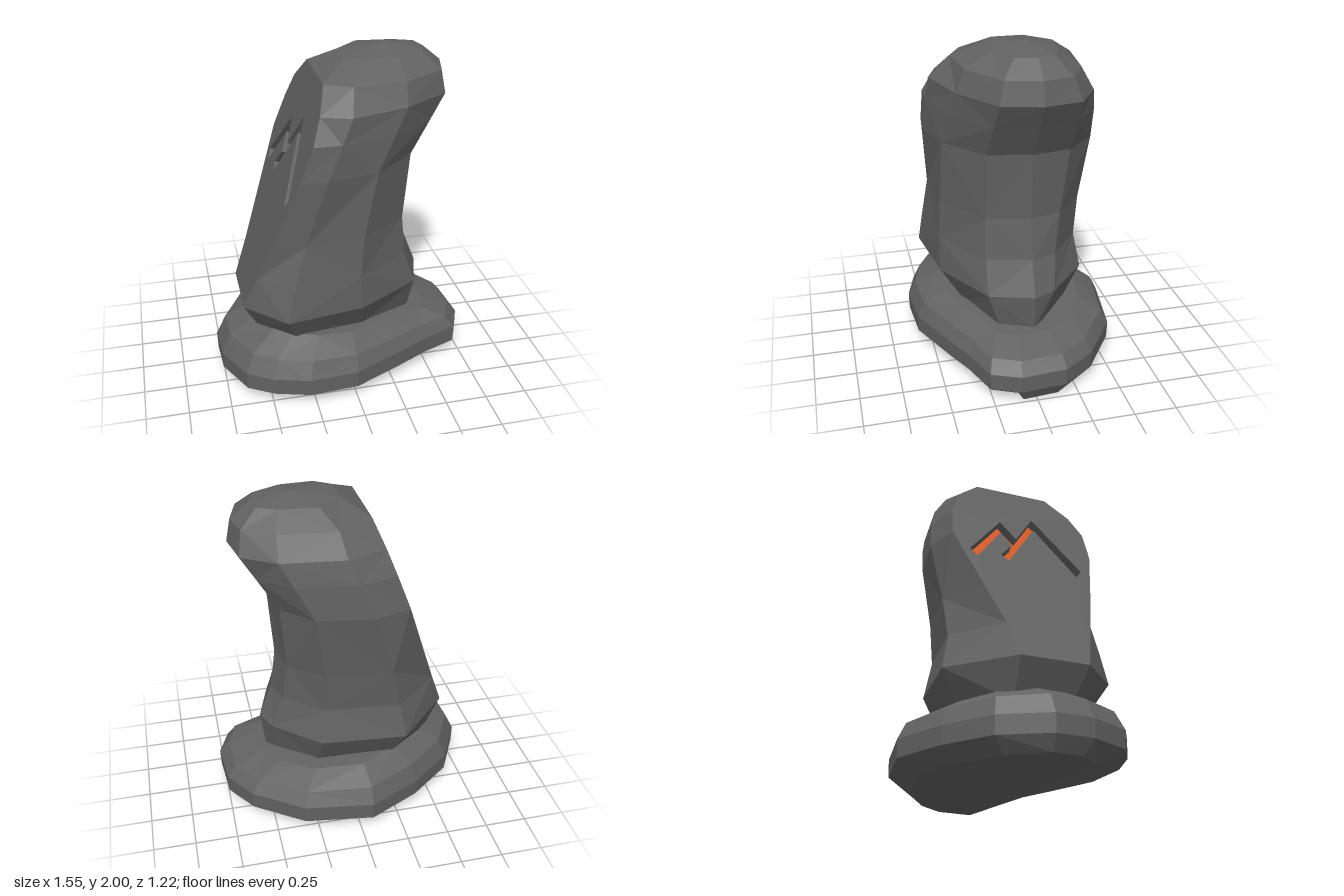
import * as THREE from 'three';

const stone = new THREE.MeshStandardMaterial({ color: 0x626262, flatShading: true, side: THREE.DoubleSide });
const glow = new THREE.MeshStandardMaterial({ color: 0xd9591c, flatShading: true, side: THREE.DoubleSide });

// Joins rings of [x, y, z] points, bottom to top, and caps both ends.
// Sides for which skip(level, side) is true stay open.
function loft(rings, bottom, top, skip = () => false) {
  const pos = [];
  const tri = (a, b, c) => pos.push(...a, ...b, ...c);
  const n = rings[0].length;
  const last = rings.length - 1;
  for (let i = 0; i < n; i++) {
    const j = (i + 1) % n;
    for (let k = 0; k < last; k++) {
      if (skip(k, i)) continue;
      const lo = rings[k], up = rings[k + 1];
      if ((i + k) % 2) {
        tri(lo[i], up[i], lo[j]);
        tri(lo[j], up[i], up[j]);
      } else {
        tri(lo[i], up[i], up[j]);
        tri(lo[i], up[j], lo[j]);
      }
    }
    tri(bottom, rings[0][i], rings[0][j]);
    tri(top, rings[last][j], rings[last][i]);
  }
  const geo = new THREE.BufferGeometry();
  geo.setAttribute('position', new THREE.Float32BufferAttribute(pos, 3));
  geo.computeVertexNormals();
  return geo;
}

function mesh(name, geo, mat) {
  const m = new THREE.Mesh(geo, mat);
  m.name = name;
  return m;
}

// Flat boulder under the standing stone; its front underside is chipped away
// and its top leans down to the +x side
function makeBase() {
  const outline = [
    [-0.07, -0.62], [0.34, -0.56], [0.5, -0.45], [0.63, -0.36], [0.76, -0.17], [0.78, 0.1],
    [0.71, 0.27], [0.5, 0.35], [0.3, 0.45], [0, 0.59], [-0.29, 0.61], [-0.5, 0.55],
    [-0.65, 0.46], [-0.77, 0.22], [-0.78, 0], [-0.64, -0.27], [-0.38, -0.47],
  ];
  const ring = (y, s, lean = 0) => outline.map(([x, z]) => [x * s, y - lean * x, z * s]);
  const rings = [
    outline.map(([x, z]) => [x * 0.93, 0, Math.min(z * 0.78, 0.2 - 0.15 * x)]),
    ring(0.085, 0.99), ring(0.19, 0.995), ring(0.285, 0.92, 0.03), ring(0.36, 0.7, 0.05),
  ];
  return mesh('base', loft(rings, [0, 0, -0.05], [0, 0.38, 0]), stone);
}

// The carved side of the standing stone is one sloping plane
const SLOPE = 0.37, LEN = Math.hypot(1, SLOPE), FOOT = [-0.64, 0.5];
const planeX = (y) => FOOT[0] + (y - FOOT[1]) * SLOPE;
const onPlane = ([z, y]) => new THREE.Vector2(z, (y - FOOT[1]) * LEN);

// Levels: y, back and front z of the carved side, right x, back z, front z,
// z of the slanted front, z of the right rear corner
const levels = [
  [0.32, -0.12, 0.2, 0.49, -0.32, 0.37, 0.3, -0.1],
  [0.54, -0.12, 0.28, 0.52, -0.45, 0.51, 0.44, -0.17],
  [0.75, -0.17, 0.33, 0.44, -0.41, 0.485, 0.44, -0.19],
  [1.0, -0.26, 0.39, 0.41, -0.43, 0.455, 0.43, -0.22],
  [1.4, -0.41, 0.475, 0.44, -0.48, 0.49, 0.42, -0.26],
  [1.6, -0.39, 0.47, 0.56, -0.455, 0.475, 0.39, -0.26],
  [1.74, -0.34, 0.4, 0.645, -0.42, 0.46, 0.36, -0.26],
  [1.87, -0.2, 0.26, 0.62, -0.34, 0.34, 0.31, -0.21],
  [1.96, -0.08, 0.1, 0.51, -0.21, 0.17, 0.16, -0.14],
];
const FIRST = 1, LAST = 7; // levels spanned by the carved side

function makeStandingStone() {
  const rings = levels.map(([y, a, b, xr, zb, zf, zm, zr], k) => {
    const xl = k < FIRST ? -0.52 : k > LAST ? 0.02 : planeX(y);
    const p = (t, z) => [xl + (xr - xl) * t, y, z];
    return [
      p(0, a), p(0.28, zb), p(0.72, zb * 0.9), p(0.95, zr), p(1, -0.04),
      p(0.93, zm * 0.5), p(0.6, zm), p(0.2, zf), p(0, b),
    ];
  });
  const open = (k, i) => i === 8 && k >= FIRST && k < LAST;
  return mesh('standingStone', loft(rings, [0, 0.32, 0], [0.28, 2, -0.03], open), stone);
}

// Sloping side with a zigzag groove cut through to a coloured floor
function makeCarvedSide() {
  const depth = 0.055;
  const side = levels.slice(FIRST, LAST + 1);
  const border = [
    ...side.map(([y, , b]) => [b, y]),
    ...side.map(([y, a]) => [a, y]).reverse(),
  ].map(onPlane);
  const groove = [
    [-0.315, 1.285], [-0.09, 1.57], [-0.005, 1.44], [0.13, 1.645], [0.385, 1.26], [0.345, 1.205],
    [0.128, 1.555], [-0.08, 1.24], [-0.125, 1.28], [-0.045, 1.372], [-0.097, 1.475], [-0.275, 1.235],
  ].map(onPlane);
  const shape = new THREE.Shape(border);
  shape.holes.push(new THREE.Path(groove));
  const slab = new THREE.ExtrudeGeometry(shape, { depth, bevelEnabled: false }).translate(0, 0, -depth);
  const floor = new THREE.ShapeGeometry(new THREE.Shape(groove)).translate(0, 0, -depth + 0.002);

  const group = new THREE.Group();
  group.name = 'carvedSide';
  group.add(mesh('carvedFace', slab, stone), mesh('grooveFloor', floor, glow));
  const up = new THREE.Vector3(SLOPE, 1, 0).normalize();
  const out = new THREE.Vector3(-1, SLOPE, 0).normalize();
  const basis = new THREE.Matrix4().makeBasis(new THREE.Vector3(0, 0, 1), up, out);
  group.quaternion.setFromRotationMatrix(basis);
  group.position.set(FOOT[0], FOOT[1], 0);
  return group;
}

export function createModel() {
  const model = new THREE.Group();
  model.name = 'carvedStone';
  model.add(makeBase(), makeStandingStone(), makeCarvedSide());
  return model;
}
